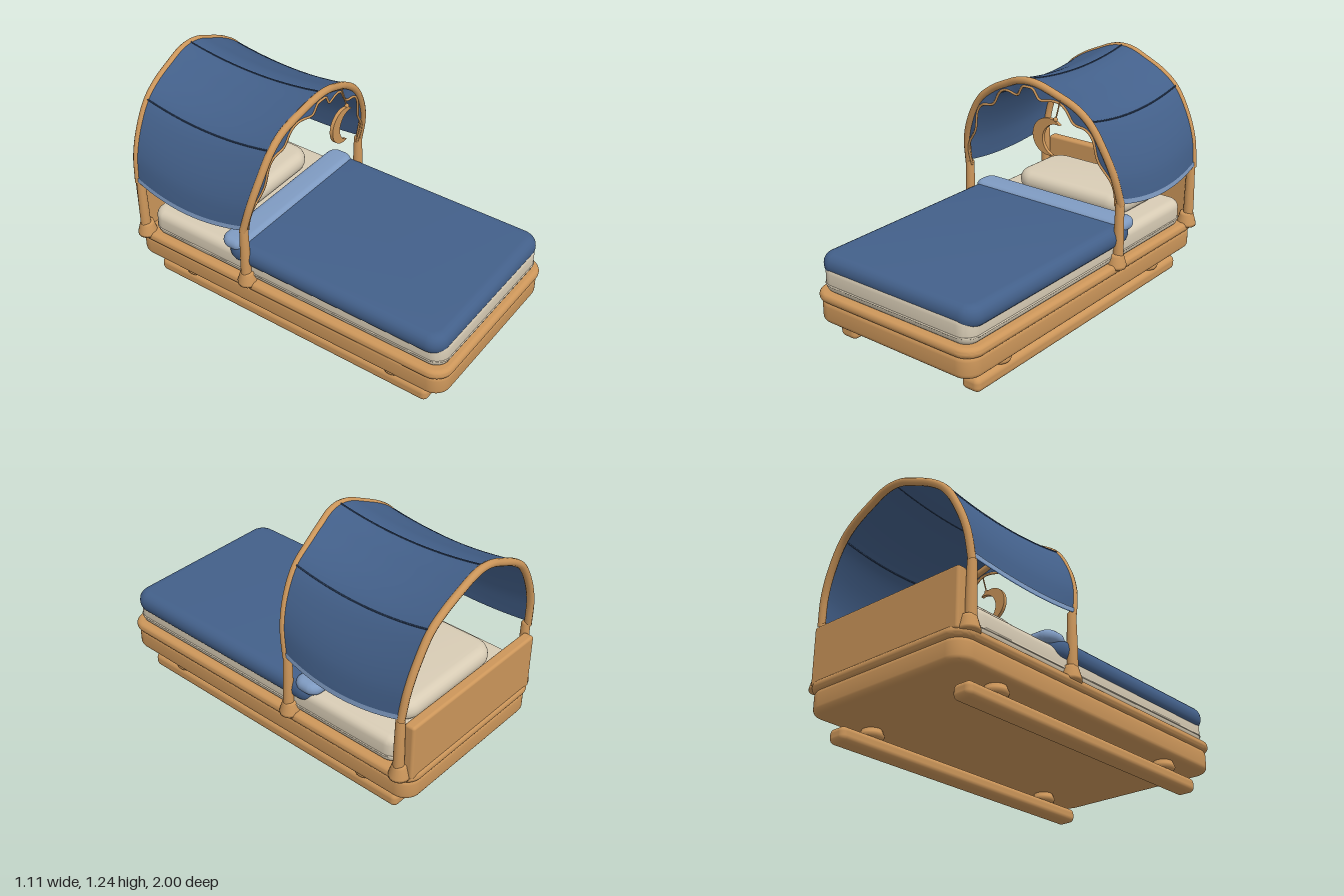
import * as THREE from 'three';
import { toCreasedNormals } from 'three/addons/utils/BufferGeometryUtils.js';
import { RoundedBoxGeometry } from 'three/addons/geometries/RoundedBoxGeometry.js';
import { ParametricGeometry } from 'three/addons/geometries/ParametricGeometry.js';

const material = (name, color, side = THREE.FrontSide) => {
  const m = new THREE.MeshStandardMaterial({ color, side });
  m.name = name;
  return m;
};

export function createModel() {
  const wood = material('wood', 0xcc965a);
  const blue = material('navy cloth', 0x43608a, THREE.DoubleSide);
  const paleBlue = material('pale blue cloth', 0x7f9bc2, THREE.DoubleSide);
  const cream = material('cream cloth', 0xd8ccb5);
  const seamBlue = material('seam thread', 0x304566);

  const bed = new THREE.Group();
  bed.name = 'canopyBed';
  const add = (name, geometry, mat, x = 0, y = 0, z = 0) => {
    const mesh = new THREE.Mesh(geometry, mat);
    mesh.name = name;
    mesh.position.set(x, y, z);
    bed.add(mesh);
    return mesh;
  };

  // Flat-lying slab: rounded corners in plan (r), rounded edges (b), from y0 to y1
  const slab = (w, d, y0, y1, r, b) => {
    const X = w / 2 - b, Z = d / 2 - b, c = r - b;
    const s = new THREE.Shape();
    s.absarc(X - c, Z - c, c, 0, Math.PI / 2);
    s.absarc(-X + c, Z - c, c, Math.PI / 2, Math.PI);
    s.absarc(-X + c, -Z + c, c, Math.PI, Math.PI * 1.5);
    s.absarc(X - c, -Z + c, c, Math.PI * 1.5, Math.PI * 2);
    const g = new THREE.ExtrudeGeometry(s, {
      depth: y1 - y0 - 2 * b, bevelThickness: b, bevelSize: b, bevelSegments: 5, curveSegments: 6,
    });
    g.rotateX(-Math.PI / 2).translate(0, y0 + b, 0);
    return toCreasedNormals(g, 0.7);
  };
  const lathe = (pts) => new THREE.LatheGeometry(pts.map(([r, y]) => new THREE.Vector2(r, y)), 20);

  // Frame
  add('bedBase', slab(1.02, 1.98, 0.125, 0.25, 0.09, 0.03), wood);
  add('bedRim', slab(1.05, 2, 0.24, 0.295, 0.1, 0.025), wood);
  add('headboard', new RoundedBoxGeometry(0.98, 0.32, 0.06, 3, 0.015), wood, 0, 0.43, -0.96);

  // Runners with turned feet
  for (const side of [-1, 1]) {
    add('runner', new RoundedBoxGeometry(0.11, 0.08, 1.76, 4, 0.03), wood, side * 0.41, 0.04, 0);
    for (const z of [0.66, -0.65]) {
      add('foot', lathe([[0.04, 0.07], [0.058, 0.08], [0.065, 0.095], [0.06, 0.105], [0.05, 0.13]]),
        wood, side * 0.41, 0, z);
    }
  }

  // Bedding
  add('mattress', slab(0.98, 1.86, 0.285, 0.44, 0.08, 0.045), cream, 0, 0, 0.04);
  add('mattressPiping', slab(0.988, 1.868, 0.328, 0.338, 0.084, 0.004), cream, 0, 0, 0.04);
  add('blanket', slab(1.02, 1.325, 0.37, 0.49, 0.09, 0.055), blue, 0, 0, 0.304);
  add('blanketFold', slab(1.015, 0.155, 0.438, 0.507, 0.06, 0.034), paleBlue, 0, 0, -0.31);
  add('pillow', slab(0.74, 0.42, 0.43, 0.542, 0.11, 0.052), cream, 0, 0, -0.64);

  // Posts with flared sockets
  for (const side of [-1, 1]) {
    for (const z of [-0.212, -0.922]) {
      add('postSocket', lathe([[0, 0.27], [0.054, 0.27], [0.054, 0.285], [0.04, 0.335], [0.036, 0.35], [0, 0.352]]),
        wood, side * 0.497, 0, z);
      add('post', lathe([[0.028, 0.34], [0.027, 0.45], [0.023, 0.63], [0.015, 0.64], [0, 0.642]]),
        wood, side * 0.507, 0, z);
    }
  }

  // Arched hoops: half profile [x, y, front z, back z], mirrored
  const half = [
    [0.515, 0.62, -0.212, -0.93], [0.492, 0.78, -0.175, -0.942], [0.44, 0.92, -0.15, -0.95],
    [0.36, 1.05, -0.137, -0.955], [0.27, 1.12, -0.132, -0.96], [0.15, 1.178, -0.112, -0.963],
    [0.07, 1.21, -0.098, -0.965], [0, 1.22, -0.094, -0.965],
  ];
  const hoopCurve = (k) => {
    const left = half.map((p) => new THREE.Vector3(-p[0], p[1], p[k]));
    const right = half.slice(0, -1).reverse().map((p) => new THREE.Vector3(p[0], p[1], p[k]));
    return new THREE.CatmullRomCurve3([...left, ...right]);
  };
  const front = hoopCurve(2), back = hoopCurve(3);
  add('frontHoop', new THREE.TubeGeometry(front, 80, 0.02, 10), wood);
  add('backHoop', new THREE.TubeGeometry(back, 80, 0.02, 10), wood);

  // Canopy cloth sags between the hoops and flares at its lower edges
  const canopyPoint = (u, v, target, lift = 0.012) => {
    const sag = 4 * v * (1 - v);
    target.lerpVectors(front.getPoint(u), back.getPoint(u), v);
    const low = THREE.MathUtils.clamp((1.2 - target.y) / 0.55, 0, 1);
    target.x *= 1 + lift * 1.5 + 0.05 * sag * low;
    target.y += lift - 0.043 * sag;
    return target;
  };
  const cloth = (u0, u1, nu, lift) => new ParametricGeometry(
    (u, v, t) => canopyPoint(u0 + (u1 - u0) * u, v, t, lift), nu, 20);
  add('canopy', cloth(0, 1, 80), blue);
  add('canopyHem', cloth(0, 0.011, 2, 0.016), paleBlue);
  add('canopyHem', cloth(0.989, 1, 2, 0.016), paleBlue);
  for (const u of [3 / 14, 0.5, 11 / 14]) {
    const pts = Array.from({ length: 13 }, (_, i) => canopyPoint(u, i / 12, new THREE.Vector3(), 0.013));
    add('canopySeam', new THREE.TubeGeometry(new THREE.CatmullRomCurve3(pts), 24, 0.004, 6), seamBlue);
  }

  // Scalloped valance hanging inside the front hoop
  const valancePoint = (u, drop, target) => {
    const m = Math.abs(u * 14 - 7);
    const wave = 0.052 - 0.022 * Math.cos(Math.PI * Math.max(0, m - 0.4));
    const depth = wave * (1 - 0.45 * THREE.MathUtils.smoothstep(m, 3.5, 7)) * drop;
    const tangent = front.getTangent(u);
    target.copy(front.getPoint(u));
    target.x += tangent.y * depth;
    target.y -= tangent.x * depth;
    target.z += 0.008 * drop;
    return target;
  };
  add('valance', new ParametricGeometry((u, v, t) => valancePoint(u, v, t), 120, 3), blue);
  const hemPoints = Array.from({ length: 81 }, (_, i) => valancePoint(i / 80, 1, new THREE.Vector3()));
  add('valanceTrim', new THREE.TubeGeometry(new THREE.CatmullRomCurve3(hemPoints), 200, 0.007, 6), wood);

  // Hanging crescent: big circle minus an offset circle, meeting at two tips
  const O = new THREE.Vector2(0.155, 0.96), I = new THREE.Vector2(0.205, 0.947), R = 0.1, r = 0.087;
  const gap = O.distanceTo(I), axis = Math.atan2(I.y - O.y, I.x - O.x);
  const a = Math.acos((gap * gap + R * R - r * r) / (2 * gap * R));
  const b = Math.atan2(R * Math.sin(a), R * Math.cos(a) - gap);
  const crescent = new THREE.Shape();
  crescent.absarc(O.x, O.y, R, axis + a, axis - a + Math.PI * 2, false);
  crescent.absarc(I.x, I.y, r, axis - b + Math.PI * 2, axis + b, true);
  const moon = new THREE.ExtrudeGeometry(crescent, { depth: 0.02, bevelEnabled: false, curveSegments: 32 });
  add('crescent', toCreasedNormals(moon, 0.6), wood, 0, 0, -0.08);
  add('crescentBead', new THREE.SphereGeometry(0.012, 12, 8), wood, 0.193, 1.058, -0.07);
  const cord = new THREE.LineCurve3(new THREE.Vector3(0.193, 1.055, -0.07), new THREE.Vector3(0.195, 1.15, -0.105));
  add('crescentCord', new THREE.TubeGeometry(cord, 1, 0.004, 6), wood);

  return bed;
}
